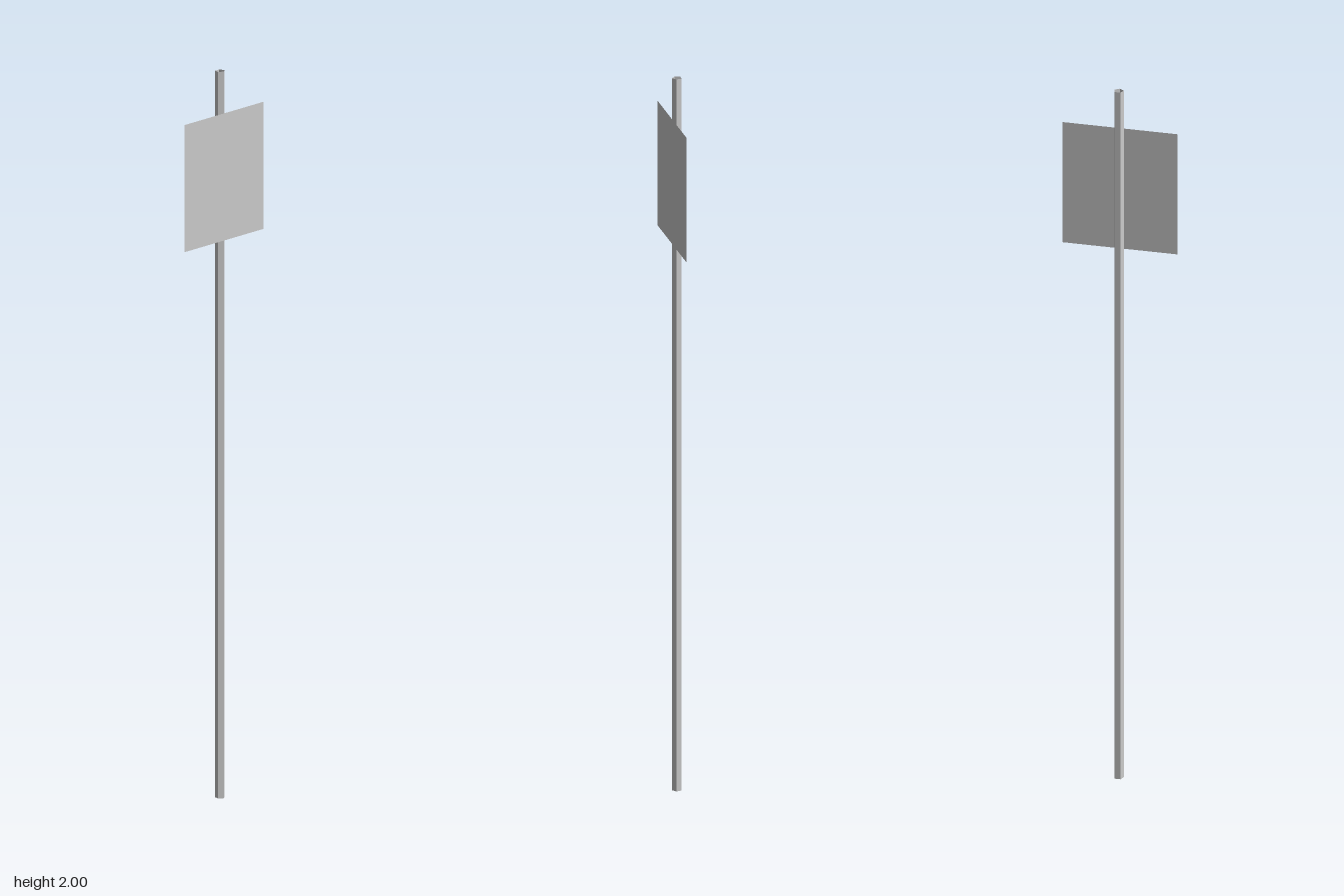
import * as THREE from 'three';

export function createModel() {
  const group = new THREE.Group();
  const material = new THREE.MeshStandardMaterial({
    color: 0xcccccc, flatShading: true, side: THREE.DoubleSide,
  });

  // Slim five-sided open tube with one edge facing forward
  const radius = 0.0135;
  const pole = new THREE.Mesh(new THREE.CylinderGeometry(radius, radius, 2, 5, 1, true), material);
  pole.name = 'pole';
  pole.position.set(0, 1, -0.0013);
  group.add(pole);

  // Thin sign plate resting on the front edge of the pole
  const plate = new THREE.Mesh(new THREE.PlaneGeometry(0.315, 0.35), material);
  plate.name = 'signPlate';
  plate.position.set(0, 1.71, 0.0124);
  group.add(plate);

  return group;
}
